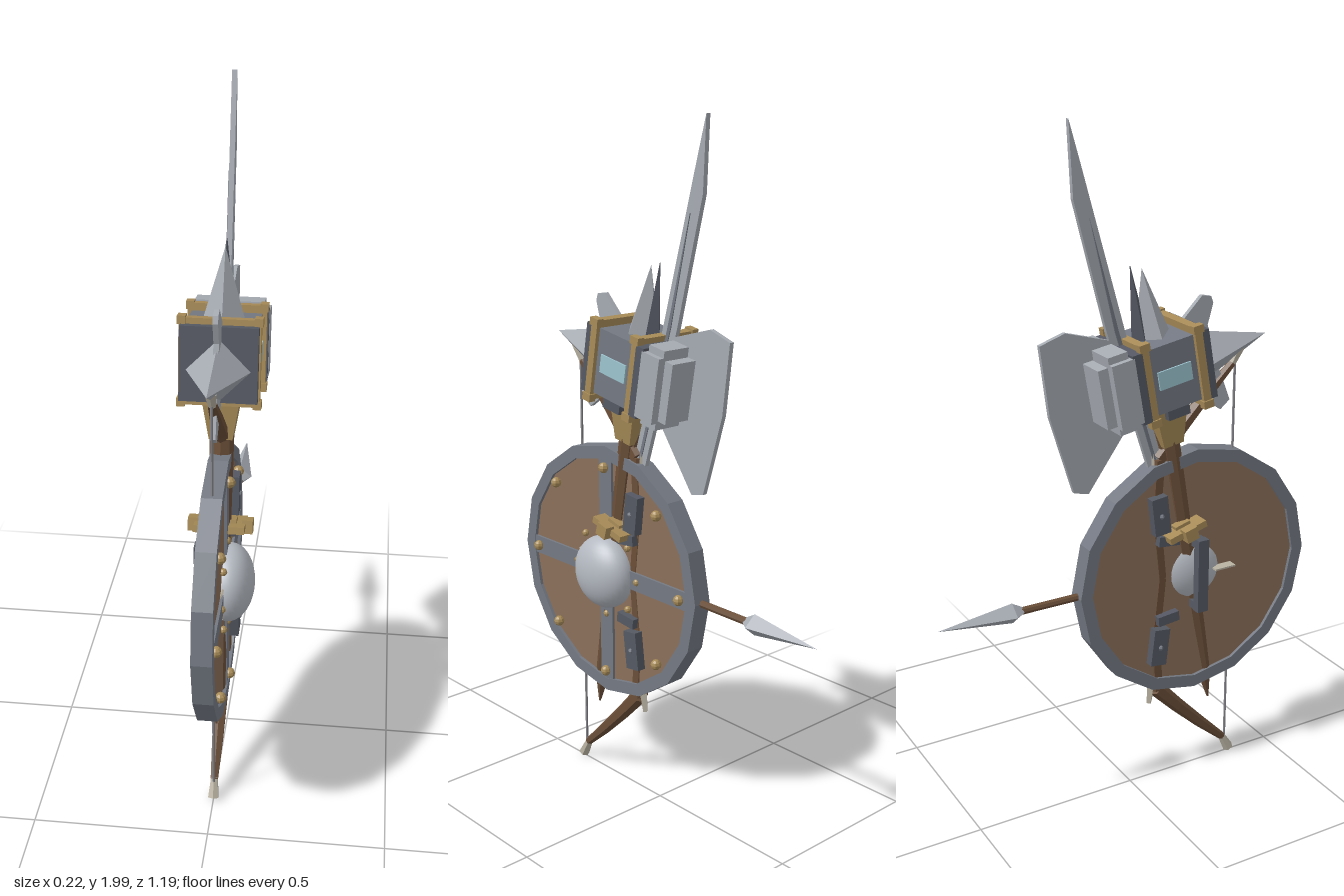
import * as THREE from 'three';

const mat = (name, color, flatShading = true) => {
  const m = new THREE.MeshStandardMaterial({ color, flatShading });
  m.name = name;
  return m;
};

export function createModel() {
  const M = {
    steel: mat('steel', 0xa6abb2),
    polished: mat('polishedSteel', 0xb4b9c1, false),
    iron: mat('iron', 0x747983),
    dark: mat('darkIron', 0x555963),
    plank: mat('shieldWood', 0x8b7059),
    wood: mat('handleWood', 0x6b4f39),
    gold: mat('brass', 0xa88c58),
    tan: mat('horn', 0xb9b2a2),
    glow: mat('paleBlue', 0x9cc4cf),
    string: mat('bowString', 0x85858a),
  };
  const model = new THREE.Group();
  const add = (name, geo, m, parent = model, pos = [0, 0, 0], rx = 0) => {
    const mesh = new THREE.Mesh(geo, m);
    mesh.name = name;
    mesh.position.set(...pos);
    mesh.rotation.x = rx;
    parent.add(mesh);
    return mesh;
  };
  const group = (name, pos = [0, 0, 0], rx = 0) => {
    const g = new THREE.Group();
    g.name = name;
    g.position.set(...pos);
    g.rotation.x = rx;
    model.add(g);
    return g;
  };
  const box = (x, y, z) => new THREE.BoxGeometry(x, y, z);
  // tapered rod between two points
  const rod = (name, a, b, r1, r2, sides, m, parent = model) => {
    const p = new THREE.Vector3(...a), d = new THREE.Vector3(...b).sub(p);
    const mesh = add(name, new THREE.CylinderGeometry(r2, r1, d.length(), sides), m, parent);
    mesh.position.copy(p).addScaledVector(d, 0.5);
    mesh.quaternion.setFromUnitVectors(new THREE.Vector3(0, 1, 0), d.normalize());
    return mesh;
  };
  // plate in the z-y plane, centred on x = 0
  const plate = (pts, t, holes = []) => {
    const s = new THREE.Shape(pts.map(p => new THREE.Vector2(...p)));
    holes.forEach(h => s.holes.push(new THREE.Path(h.map(p => new THREE.Vector2(...p)))));
    return new THREE.ExtrudeGeometry(s, { depth: t, bevelEnabled: false })
      .translate(0, 0, -t / 2).rotateY(-Math.PI / 2);
  };
  const ring = (r, n) => Array.from({ length: n }, (_, i) =>
    [r * Math.cos(i * 2 * Math.PI / n), r * Math.sin(i * 2 * Math.PI / n)]);

  // Shield facing +x
  const CY = 0.68, CZ = 0.21;
  const shield = group('shield', [0, CY, CZ]);
  add('shieldBoard', plate(ring(0.365, 16), 0.036), M.plank, shield);
  add('shieldRim', plate(ring(0.385, 16), 0.056, [ring(0.347, 16)]), M.iron, shield);
  add('verticalBand', box(0.012, 0.7, 0.055), M.iron, shield, [0.02, 0, 0]);
  add('horizontalBand', box(0.012, 0.055, 0.7), M.iron, shield, [0.02, 0, 0]);
  const boss = add('shieldBoss', new THREE.SphereGeometry(0.11, 32, 20), M.polished, shield, [0.03, 0, 0]);
  boss.scale.x = 0.65;
  for (let i = 0; i < 8; i++) {
    const a = i * Math.PI / 4, c = Math.cos(a), s = Math.sin(a);
    add('rimRivet', new THREE.SphereGeometry(0.016, 8, 6), M.gold, shield, [0.031, 0.32 * s, 0.32 * c]);
    add('bossRivet', new THREE.SphereGeometry(0.011, 8, 6), M.gold, shield, [0.024, 0.135 * s, 0.135 * c]);
  }
  add('shieldGrip', box(0.026, 0.23, 0.035), M.dark, shield, [-0.054, 0, 0]);
  for (const s of [-1, 1]) add('gripMount', box(0.05, 0.025, 0.035), M.dark, shield, [-0.032, s * 0.1, 0]);

  // War hammer, leaning back
  const hammer = group('warHammer', [0, 1.32, 0.085], -0.175);
  add('hammerBody', box(0.19, 0.19, 0.23), M.iron, hammer);
  add('frontPlate', box(0.205, 0.2, 0.025), M.dark, hammer, [0, 0, 0.108]);
  add('backPlate', box(0.22, 0.2, 0.03), M.dark, hammer, [0, 0, -0.11]);
  for (const z of [-0.085, 0.085]) {
    add('brassBand', box(0.214, 0.232, 0.024), M.gold, hammer, [0, 0, z]);
    for (const x of [-1, 1]) for (const y of [-1, 1])
      add('bandCorner', box(0.022, 0.022, 0.032), M.gold, hammer, [x * 0.1, y * 0.11, z]);
  }
  for (const x of [-1, 1]) add('gemPlate', box(0.008, 0.052, 0.105), M.glow, hammer, [x * 0.096, 0, 0]);
  add('strikingBlock', box(0.222, 0.185, 0.07), M.steel, hammer, [0, 0, -0.155]);
  add('strikingFace', box(0.19, 0.225, 0.06), M.steel, hammer, [0, 0, -0.16]);
  add('strikingTip', box(0.18, 0.17, 0.03), M.steel, hammer, [0, 0, -0.207]);
  add('frontSpike', new THREE.ConeGeometry(0.086, 0.25, 4), M.steel, hammer, [0, -0.015, 0.24], Math.PI / 2);
  add('topSpike', new THREE.ConeGeometry(0.055, 0.19, 4), M.steel, hammer, [0, 0.19, 0]);
  add('hammerCollar', new THREE.CylinderGeometry(0.075, 0.045, 0.13, 4).rotateY(Math.PI / 4),
    M.gold, hammer, [0, -0.165, 0]);
  for (const x of [-1, 1]) add('collarClamp', box(0.02, 0.03, 0.07), M.dark, hammer, [x * 0.08, -0.11, 0]);
  rod('hammerHandle', [0, -1.02, 0], [0, -0.2, 0], 0.023, 0.034, 8, M.wood, hammer);
  rod('handlePoint', [0, -1.11, 0], [0, -1.0, 0], 0.003, 0.025, 6, M.wood, hammer);

  // Double-bladed axe head
  const axe = group('axe');
  add('rearAxeBlade', plate([[0.03, 1.39], [-0.2, 1.455], [-0.275, 1.43], [-0.25, 1.23],
    [-0.18, 1.0], [-0.135, 0.99], [0.03, 1.22]], 0.014), M.steel, axe);
  add('frontAxeBlade', plate([[0.08, 1.37], [0.16, 1.44], [0.225, 1.505], [0.255, 1.5], [0.262, 1.48],
    [0.245, 1.42], [0.27, 1.33], [0.325, 1.19], [0.295, 1.165], [0.19, 1.24], [0.08, 1.27]], 0.014), M.steel, axe);
  rod('axeSpike', [0, 1.38, 0.035], [0, 1.61, 0], 0.03, 0.001, 4, M.dark, axe);
  rod('axeHandle', [0, 0.75, 0.17], [0, 1.4, 0.04], 0.016, 0.016, 6, M.wood, axe);

  // Sword
  const sword = group('sword');
  add('swordBlade', plate([[-0.18, 2], [-0.17, 1.8], [-0.075, 1.44], [0.05, 1.05], [0.115, 0.83],
    [0.165, 0.84], [0.1, 1.05], [-0.02, 1.44], [-0.145, 1.88]], 0.014), M.steel, sword);
  add('bladeFuller', plate([[-0.125, 1.75], [-0.04, 1.44], [0.08, 1.05], [0.07, 1.05], [-0.052, 1.44]], 0.02),
    M.iron, sword);
  const guard = group('swordGuard', [0, 0.833, 0.155], -0.28);
  add('guardCore', box(0.09, 0.04, 0.05), M.gold, guard);
  add('guardBar', box(0.14, 0.02, 0.125), M.gold, guard);
  for (const x of [-1, 1]) add('guardEnd', box(0.03, 0.038, 0.04), M.gold, guard, [x * 0.075, 0, 0]);
  rod('swordGrip', [0, 0.6, 0.215], [0, 0.83, 0.155], 0.018, 0.018, 8, M.wood, sword);

  // Bow, mirrored about the arrow line
  const bow = group('bow', [0, CY, 0]);
  const path = [[0, 0.1], [0.2, 0.078], [0.37, 0.09], [0.45, 0.165], [0.535, 0.25], [0.615, 0.335]];
  const radii = [0.022, 0.024, 0.025, 0.022, 0.018, 0.012];
  for (const s of [-1, 1]) {
    for (let i = 0; i < path.length - 1; i++)
      rod('bowLimb', [0, s * path[i][0], path[i][1]], [0, s * path[i + 1][0], path[i + 1][1]],
        radii[i], radii[i + 1], 6, M.wood, bow);
    rod('bowTip', [0, s * 0.61, 0.332], [0, s * 0.662, 0.36], 0.011, 0.017, 6, M.tan, bow);
    rod('hornWedge', [0, s * 0.34, 0.075], [0, s * 0.415, 0.066], 0.016, 0.008, 4, M.tan, bow);
    add('limbPlate', box(0.09, 0.115, 0.052), M.dark, bow, [0, s * 0.21, 0.079], -s * 0.12);
    add('gripCap', box(0.08, 0.03, 0.07), M.dark, bow, [0, s * 0.125, 0.11], s * 0.1);
    for (const x of [-1, 1])
      add('plateStud', new THREE.SphereGeometry(0.008, 6, 4), M.iron, bow, [x * 0.045, s * 0.21, 0.079]);
  }
  rod('string', [0, -0.62, 0.345], [0, 0.62, 0.345], 0.004, 0.004, 5, M.string, bow);

  // Arrow pointing to -z
  const arrow = group('arrow', [0, CY, 0]);
  rod('arrowShaft', [0, 0, 0.345], [0, 0, -0.38], 0.011, 0.011, 8, M.wood, arrow);
  const head = rod('arrowHead', [0, 0, -0.375], [0, 0, -0.595], 0.036, 0.0005, 4, M.steel, arrow);
  head.scale.set(1, 1, 0.85);
  rod('arrowHeadBase', [0, 0, -0.345], [0, 0, -0.376], 0.014, 0.035, 4, M.steel, arrow).scale.z = 0.85;
  for (let i = 0; i < 3; i++) {
    const vane = add('fletching', box(0.045, 0.005, 0.07), M.tan, arrow);
    const a = Math.PI + i * 2 * Math.PI / 3;
    vane.position.set(0.026 * Math.cos(a), 0.026 * Math.sin(a), 0.3);
    vane.rotation.z = a;
  }
  return model;
}
